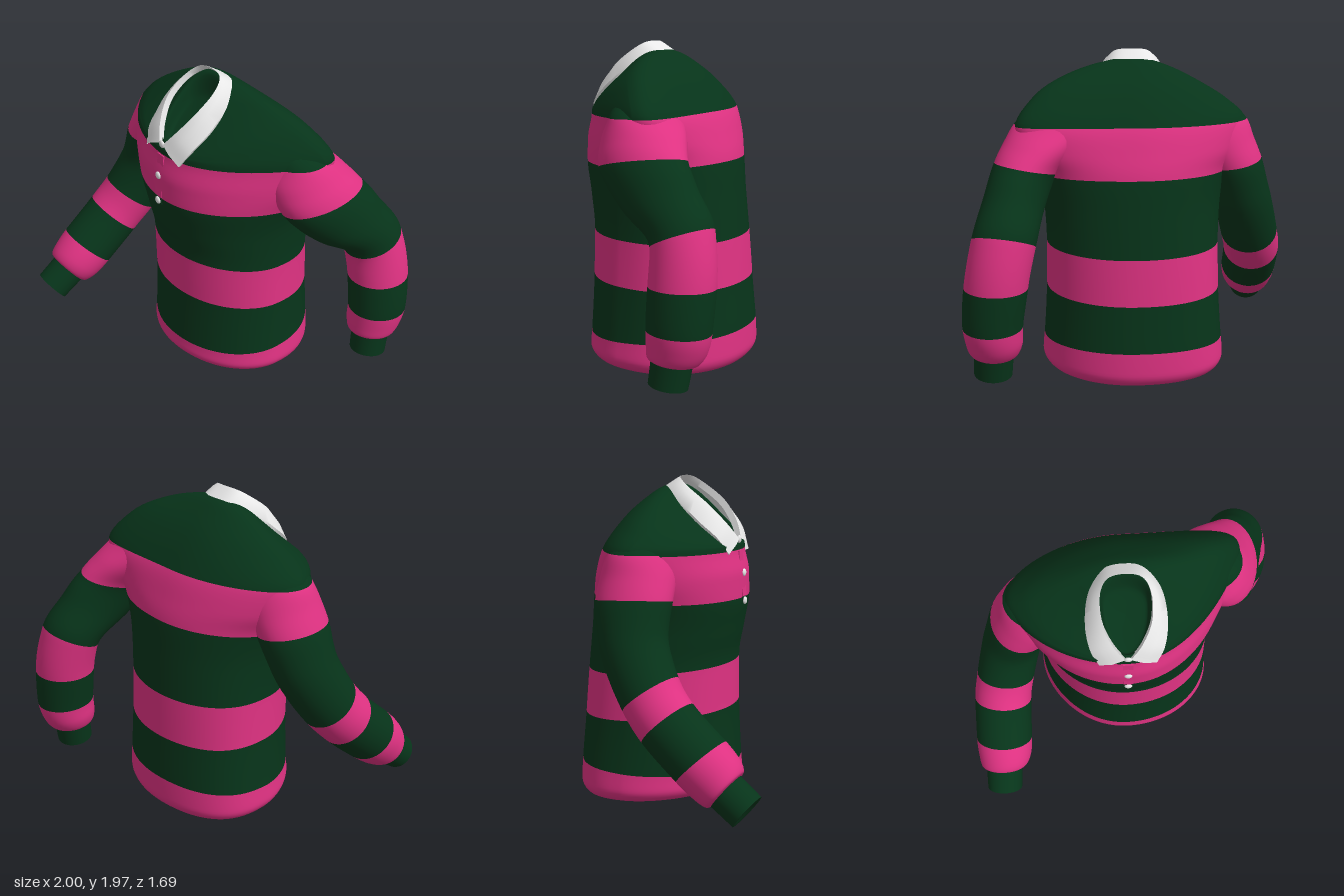
import * as THREE from 'three';
import { toCreasedNormals } from 'three/addons/utils/BufferGeometryUtils.js';

const mat = (name, color, side = THREE.FrontSide) =>
  Object.assign(new THREE.MeshStandardMaterial({ color, side }), { name });
const V = (x, y, z) => new THREE.Vector3(x, y, z);

// Skin a list of closed rings; rowColors gives a material index for each row.
function skin(rows, rowColors) {
  const n = rows[0].length, pos = [], idx = [];
  rows.forEach(r => r.forEach(p => pos.push(p.x, p.y, p.z)));
  const g = new THREE.BufferGeometry();
  for (let i = 0; i < rows.length - 1; i++) {
    for (let j = 0; j < n; j++) {
      const k = (j + 1) % n, a = i * n + j, b = i * n + k, c = b + n, d = a + n;
      idx.push(a, b, c, a, c, d);
    }
    if (rowColors) g.addGroup(i * n * 6, n * 6, rowColors[i]);
  }
  g.setAttribute('position', new THREE.Float32BufferAttribute(pos, 3));
  g.setIndex(idx);
  g.computeVertexNormals();
  return g;
}

// Smooth, overshoot-free interpolation between key sections.
function blend(keys, i, t) {
  const tangent = (k, c) => {
    const d0 = k > 0 ? keys[k][c] - keys[k - 1][c] : null;
    const d1 = k < keys.length - 1 ? keys[k + 1][c] - keys[k][c] : null;
    if (d0 === null) return d1;
    if (d1 === null) return d0;
    return d0 * d1 <= 0 ? 0 : 2 * d0 * d1 / (d0 + d1);
  };
  const t2 = t * t, t3 = t2 * t;
  return keys[i].map((p, c) => p * (2 * t3 - 3 * t2 + 1) + tangent(i, c) * (t3 - 2 * t2 + t)
    + keys[i + 1][c] * (3 * t2 - 2 * t3) + tangent(i + 1, c) * (t3 - t2));
}

// Loft through key sections; colors has one material index per span.
function loft(keys, colors, ring, steps) {
  const rows = [], rowColors = [];
  for (let i = 0; i < keys.length - 1; i++) {
    for (let s = 0; s < steps; s++) {
      rows.push(ring(blend(keys, i, s / steps)));
      rowColors.push(colors[i]);
    }
  }
  rows.push(ring(keys[keys.length - 1]));
  return skin(rows, rowColors);
}

// Torso section: height, slope along z, centre z, half width, front z, back z, twist,
// and how sharply the front tapers to the sides.
function torsoRing([y, slope, cz, hw, front, back, twist, taper]) {
  const pts = [];
  for (let j = 0; j < 80; j++) {
    const a = j / 80 * Math.PI * 2, c = Math.cos(a), s = Math.sin(a);
    const x = hw * c;
    const depth = s > 0 ? (front - cz) * s ** taper : (back - cz) * (-s) ** 0.82;
    const z = cz + depth + twist * x * Math.abs(c);
    pts.push(V(x, y + slope * z, z));
  }
  return pts;
}

// Sleeve section: centre, direction down the arm, half width, half depth.
function armRing([x, y, z, nx, ny, nz, ru, rv]) {
  const n = V(nx, ny, nz).normalize();
  const u = V(1, 0, 0).addScaledVector(n, -n.x).normalize();
  const v = n.clone().cross(u);
  return Array.from({ length: 40 }, (_, j) => {
    const a = j / 40 * Math.PI * 2;
    return V(x, y, z).addScaledVector(u, ru * Math.cos(a)).addScaledVector(v, rv * Math.sin(a));
  });
}

export function createModel() {
  const green = mat('dark green', 0x07341a);
  const pink = mat('pink', 0xdf3282);
  const white = mat('white', 0xe8e8e8, THREE.DoubleSide);
  const cloth = [green, pink];
  const shirt = new THREE.Group();
  shirt.name = 'shirt';
  const add = (name, geo, material, parent = shirt) => {
    const m = new THREE.Mesh(geo, material);
    m.name = name;
    parent.add(m);
    return m;
  };

  // Body, from the neck lining over the shoulders to the closed hem
  const torso = [
    [1.80, -0.85, 0.15, 0, 0.15, 0.15, 0, 1],
    [1.82, -0.85, 0.13, 0.12, 0.33, 0.04, 0, 1],
    [1.925, -0.85, 0.12, 0.15, 0.37, 0.0, 0, 1],
    [1.865, -0.72, 0.03, 0.26, 0.375, -0.07, -0.06, 1.05],
    [1.775, -0.5, -0.01, 0.43, 0.385, -0.16, -0.12, 1.25],
    [1.67, -0.25, -0.07, 0.59, 0.395, -0.28, -0.17, 1.45],
    [1.55, -0.03, -0.14, 0.695, 0.40, -0.40, -0.18, 1.5],
    [1.40, -0.03, -0.11, 0.66, 0.43, -0.46, -0.14, 1.4],
    [1.26, -0.02, -0.05, 0.585, 0.43, -0.50, -0.08, 1.25],
    [1.05, 0, -0.06, 0.54, 0.395, -0.52, -0.02, 1.15],
    [0.83, 0.05, -0.08, 0.53, 0.36, -0.54, 0.03, 1.1],
    [0.55, 0.05, -0.09, 0.535, 0.36, -0.56, 0.06, 1.1],
    [0.21, -0.04, -0.10, 0.555, 0.375, -0.58, 0.08, 1.1],
    [0.11, 0.03, -0.10, 0.565, 0.38, -0.585, 0.08, 1.1],
    [0.045, 0.05, -0.10, 0.52, 0.34, -0.54, 0.08, 1.1],
    [0.03, 0.05, -0.10, 0.42, 0.25, -0.44, 0.06, 1.1],
    [0.06, 0.05, -0.10, 0, -0.10, -0.10, 0, 1.1],
  ];
  add('body', loft(torso, [0, 0, 0, 0, 0, 0, 1, 1, 0, 0, 1, 0, 1, 1, 1, 1], torsoRing, 6), cloth);

  // Sleeves: the left one hangs back, the right one swings forward
  const sleeveColors = [0, 1, 1, 0, 0, 1, 0, 1, 1, 1];
  const arms = {
    left: {
      sleeve: [
        [0.39, 1.65, -0.16, 0, -1, 0, 0.20, 0.17],
        [0.455, 1.553, -0.20, 0.03, -1, -0.03, 0.25, 0.20],
        [0.545, 1.43, -0.24, 0.1, -1, -0.09, 0.225, 0.255],
        [0.635, 1.31, -0.295, 0.19, -1, -0.16, 0.19, 0.275],
        [0.70, 1.13, -0.45, 0.15, -0.9, -0.4, 0.18, 0.23],
        [0.75, 0.945, -0.625, 0.12, -0.9, -0.38, 0.185, 0.185],
        [0.80, 0.69, -0.655, 0.03, -1, 0, 0.185, 0.19],
        [0.825, 0.45, -0.65, 0, -1, 0.05, 0.175, 0.185],
        [0.82, 0.345, -0.635, 0, -1, 0.1, 0.165, 0.172],
        [0.826, 0.28, -0.615, 0.05, -1, 0.12, 0.14, 0.145],
        [0.83, 0.265, -0.61, 0.05, -1, 0.12, 0.10, 0.10],
      ],
      wrist: [0.828, 0.29, -0.612], hand: [0.838, 0.133, -0.59],
    },
    right: {
      sleeve: [
        [-0.39, 1.65, -0.02, 0, -1, 0, 0.20, 0.16],
        [-0.455, 1.55, -0.02, -0.03, -1, 0, 0.25, 0.20],
        [-0.535, 1.42, -0.015, -0.08, -1, 0.02, 0.22, 0.225],
        [-0.615, 1.29, -0.01, -0.15, -1, 0.05, 0.19, 0.23],
        [-0.685, 1.08, 0.02, -0.2, -1, 0.2, 0.18, 0.205],
        [-0.765, 0.79, 0.165, -0.12, -0.76, 0.6, 0.18, 0.185],
        [-0.80, 0.645, 0.285, -0.1, -0.7, 0.68, 0.18, 0.18],
        [-0.815, 0.455, 0.495, -0.05, -0.7, 0.7, 0.18, 0.178],
        [-0.82, 0.37, 0.59, -0.03, -0.7, 0.72, 0.17, 0.168],
        [-0.832, 0.32, 0.645, -0.03, -0.65, 0.76, 0.145, 0.14],
        [-0.834, 0.31, 0.655, -0.03, -0.6, 0.8, 0.10, 0.10],
      ],
      wrist: [-0.832, 0.32, 0.64], hand: [-0.84, 0.215, 0.777],
    },
  };
  for (const [side, { sleeve, wrist, hand }] of Object.entries(arms)) {
    const arm = new THREE.Group();
    arm.name = side + 'Arm';
    shirt.add(arm);
    add(side + 'Sleeve', loft(sleeve, sleeveColors, armRing, 6), cloth, arm);

    // Cuff with a shallow closed recess at its end
    const a = V(...wrist), b = V(...hand), dir = b.clone().sub(a).normalize();
    const inner = b.clone().addScaledVector(dir, -0.02);
    const cuffRing = (p, r) => armRing([...p.toArray(), ...dir.toArray(), r, r]);
    const rows = [cuffRing(a, 0.118), cuffRing(b, 0.113), cuffRing(b, 0.09),
      cuffRing(inner, 0.04), cuffRing(inner, 0)];
    add(side + 'Cuff', toCreasedNormals(skin(rows), 0.7), green, arm);
  }

  // Folded collar: top edge and outer edge, given for one half and mirrored
  const mirrored = half => new THREE.CatmullRomCurve3(
    [...half, ...half.slice(0, -1).reverse().map(p => V(-p.x, p.y, p.z))]);
  const topEdge = mirrored([V(0.015, 1.605, 0.40), V(0.08, 1.695, 0.35), V(0.14, 1.815, 0.25),
    V(0.14, 1.915, 0.12), V(0.095, 1.965, 0.05), V(0, 1.975, 0.03)]);
  const outerEdge = mirrored([V(0.165, 1.525, 0.395), V(0.21, 1.62, 0.34), V(0.232, 1.725, 0.22),
    V(0.20, 1.85, 0.07), V(0.115, 1.92, -0.02), V(0, 1.93, -0.04)]);
  const collarRows = [];
  for (let i = 0; i <= 60; i++) {
    const t = topEdge.getPoint(i / 60), o = outerEdge.getPoint(i / 60);
    const mid = t.clone().lerp(o, 0.5).add(V(0, 0.01, 0.014));
    const under = o.clone().lerp(t, 0.06).add(V(0, -0.012, -0.02));
    const band = V(t.x * 0.97, t.y - 0.03, t.z - 0.03);
    collarRows.push([t, mid, o, under, band]);
  }
  add('collar', toCreasedNormals(skin(collarRows), 0.8), white);

  // Button placket, following the stripes
  [['placketStripe', 1.395, 0.275, 0.412, pink], ['placketEnd', 1.233, 0.045, 0.424, green]]
    .forEach(([name, y, h, z, m]) => {
      const p = add(name, new THREE.BoxGeometry(0.06, h, 0.018), m);
      p.position.set(0, y, z);
      p.rotation.x = h > 0.1 ? -0.1 : 0.05;
    });

  // Buttons
  [[1.60, 0.395], [1.40, 0.428], [1.23, 0.436]].forEach(([y, z], i) => {
    const b = add('button' + (i + 1), new THREE.SphereGeometry(0.024, 16, 10), white);
    b.scale.z = 0.5;
    b.position.set(0, y, z);
  });
  return shirt;
}
